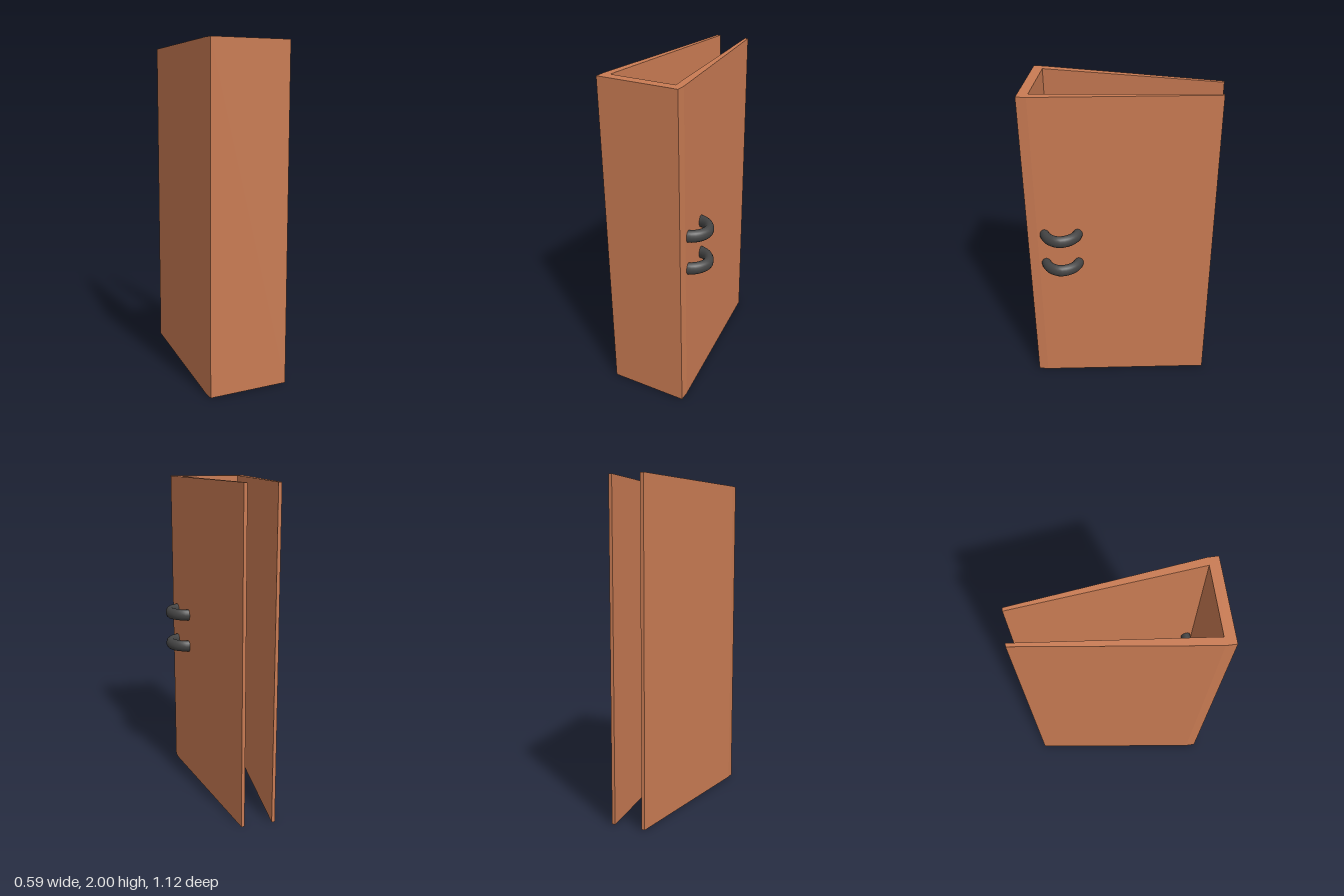
import * as THREE from 'three';

const HEIGHT = 2;
const RADIUS = 0.029;
const STRETCH = 1.29; // the bars are taller than they are wide

// Tapered U-shaped channel, open at the back, top and bottom
function makeShell() {
  const plan = [
    [-0.295, 0.56], [0.197, 0.56], [0.197, 0.5], [0.057, -0.563], [0.037, -0.563],
    [0.15, 0.5], [-0.248, 0.5], [-0.135, -0.563], [-0.155, -0.563], [-0.295, 0.5],
  ];
  const shape = new THREE.Shape(plan.map(([x, z]) => new THREE.Vector2(x, z)));
  const geometry = new THREE.ExtrudeGeometry(shape, { depth: HEIGHT, bevelEnabled: false });
  geometry.rotateX(Math.PI / 2).translate(0, HEIGHT, 0);
  const shell = new THREE.Mesh(geometry, new THREE.MeshStandardMaterial({ color: 0xc97b53 }));
  shell.name = 'shell';
  return shell;
}

// U-shaped bar passing through the side wall, with closed ends
function makeHandle(y, name, material) {
  const path = new THREE.CatmullRomCurve3([
    [-0.17, 0.247], [0.0, 0.251], [0.14, 0.255], [0.19, 0.262], [0.238, 0.297],
    [0.263, 0.358], [0.238, 0.421], [0.19, 0.456], [0.14, 0.462], [0.0, 0.465], [-0.185, 0.468],
  ].map(([x, z]) => new THREE.Vector3(x, 0, z)), false, 'centripetal');

  const handle = new THREE.Group();
  handle.name = name;
  const bar = new THREE.Mesh(new THREE.TubeGeometry(path, 48, RADIUS, 16), material);
  bar.name = 'bar';
  handle.add(bar);

  for (const t of [0, 1]) {
    const cap = new THREE.Mesh(new THREE.CircleGeometry(RADIUS, 16), material);
    cap.name = 'barEnd';
    cap.position.copy(path.getPointAt(t));
    cap.rotation.y = -Math.PI / 2;
    handle.add(cap);
  }
  handle.scale.y = STRETCH;
  handle.position.y = y;
  return handle;
}

export function createModel() {
  const model = new THREE.Group();
  model.name = 'channelWithHandles';
  const dark = new THREE.MeshStandardMaterial({ color: 0x444444 });
  model.add(
    makeShell(),
    makeHandle(1.118, 'upperHandle', dark),
    makeHandle(0.906, 'lowerHandle', dark),
  );
  return model;
}
